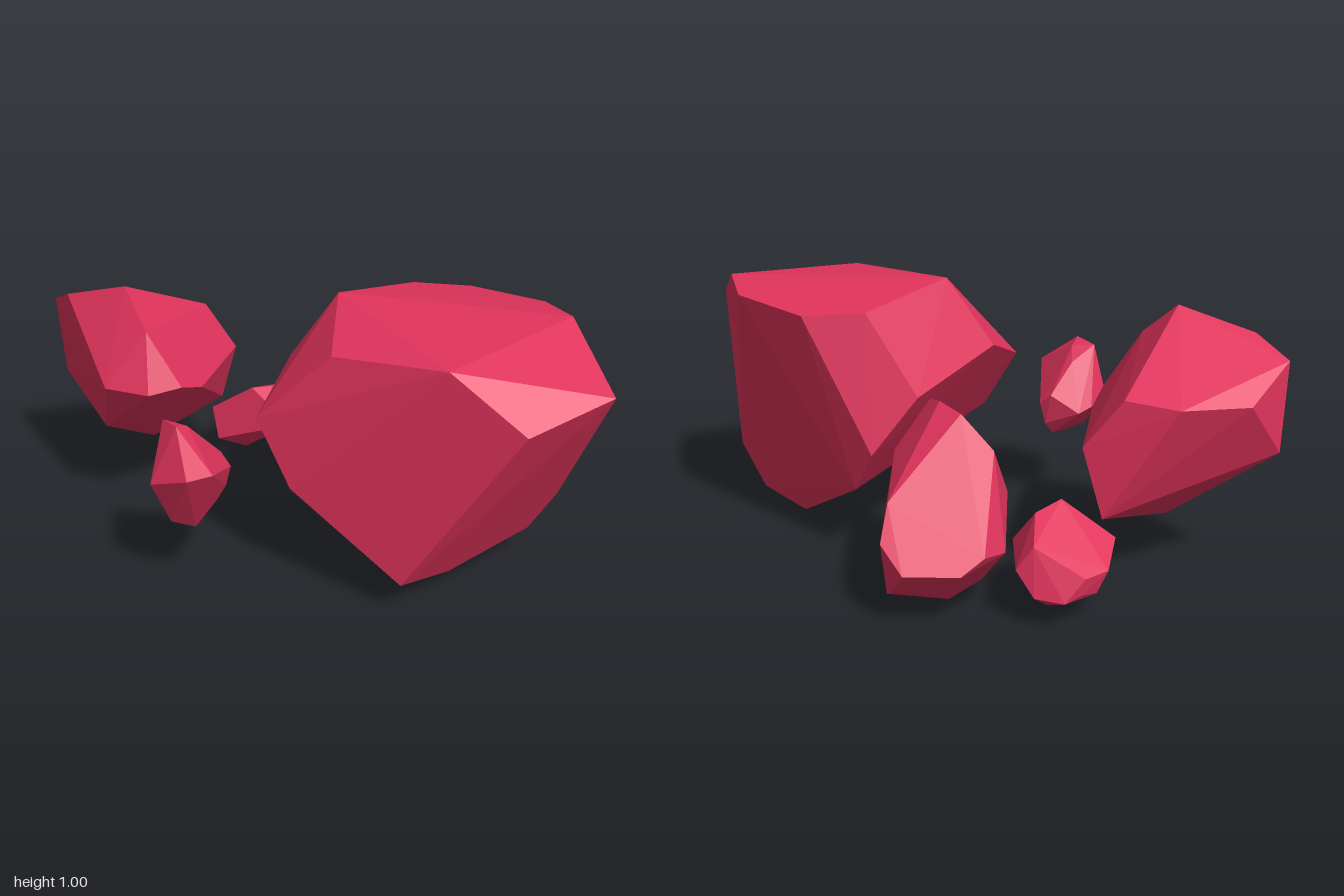
import * as THREE from 'three';
import { ConvexGeometry } from 'three/addons/geometries/ConvexGeometry.js';

// Corner points of each faceted chunk
const chunks = {
  largeChunk: [
    // top rim
    [0.07, 1.0, 0.055], [0.63, 0.985, 0.655], [0.71, 0.955, 0.44], [0.64, 0.93, 0.115],
    [0.465, 0.94, -0.015], [0.04, 0.945, 0.715], [-0.15, 0.905, 0.335],
    // front edge
    [0.5, 0.845, 0.995], [0.165, 0.78, 0.96],
    // back and left corners
    [-0.32, 0.635, 0.12], [-0.06, 0.75, -0.06], [0.35, 0.65, -0.155], [0.5, 0.45, -0.085],
    [-0.27, 0.4, 0.26],
    // underside
    [0.5, 0.285, 0.03], [0.51, 0.085, 0.39], [0.57, 0.13, 0.6], [0.62, 0.3, 0.68],
    [0.19, 0.075, 0.6], [-0.06, 0.13, 0.64],
  ],
  backRightChunk: [
    // top
    [-0.475, 0.94, -0.575], [-0.615, 0.865, -0.81], [-0.61, 0.8, -0.963], [-0.475, 0.81, -0.41],
    [-0.04, 0.72, -0.76], [-0.14, 0.705, -0.915], [-0.385, 0.69, -1.0],
    // middle
    [0.04, 0.546, -0.656], [-0.275, 0.55, -0.37], [-0.39, 0.6, -0.31], [-0.52, 0.59, -0.33],
    [-0.635, 0.6, -0.46],
    // underside
    [-0.59, 0.477, -0.97], [-0.58, 0.36, -0.62], [-0.345, 0.22, -0.69], [0.0, 0.3, -0.72],
  ],
  backLeftChunk: [
    // top and front tip
    [0.28, 0.627, -0.13], [0.42, 0.466, -0.11], [0.333, 0.664, -0.26], [0.333, 0.65, -0.38],
    [0.296, 0.55, -0.51], [0.175, 0.35, -0.434],
    // left side
    [0.63, 0.41, -0.38], [0.695, 0.3, -0.43], [0.68, 0.22, -0.53],
    // back
    [0.455, 0.27, -0.665], [0.535, 0.22, -0.645], [0.35, 0.25, -0.64],
    // underside
    [0.67, 0.13, -0.45], [0.61, 0.055, -0.33], [0.41, 0.004, -0.41], [0.28, 0.04, -0.42],
  ],
  smallBackChunk: [
    [0.085, 0.36, -0.61], [0.2, 0.34, -0.61], [0.3, 0.285, -0.72], [0.19, 0.19, -0.85],
    [0.09, 0.19, -0.85], [0.19, 0.13, -0.84], [-0.03, 0.24, -0.757], [-0.027, 0.1, -0.72],
    [0.1, 0.035, -0.7], [0.235, 0.057, -0.72], [0.32, 0.12, -0.75], [0.34, 0.2, -0.68],
    [0.196, 0.2, -0.49], [0.254, 0.11, -0.825], [0.12, 0.11, -0.83],
  ],
  smallRightChunk: [
    // top
    [-0.61, 0.664, 0.08], [-0.61, 0.65, -0.02], [-0.554, 0.64, 0.05], [-0.51, 0.59, 0.0],
    // front and sides
    [-0.566, 0.54, 0.25], [-0.645, 0.52, 0.21], [-0.71, 0.46, 0.06], [-0.4, 0.47, 0.0],
    [-0.388, 0.43, 0.05],
    // back
    [-0.63, 0.45, -0.075], [-0.534, 0.42, -0.095], [-0.476, 0.4, -0.085],
    // underside
    [-0.4, 0.345, 0.03], [-0.44, 0.296, 0.03], [-0.565, 0.262, 0.1], [-0.64, 0.288, 0.06],
  ],
};

export function createModel() {
  const model = new THREE.Group();
  model.name = 'chunkCluster';
  const crimson = new THREE.MeshStandardMaterial({ color: 0xe0335b });
  crimson.name = 'crimson';

  // Each chunk is the flat-faced hull of its corners
  for (const [name, corners] of Object.entries(chunks)) {
    const points = corners.map((c) => new THREE.Vector3(...c));
    const mesh = new THREE.Mesh(new ConvexGeometry(points), crimson);
    mesh.name = name;
    model.add(mesh);
  }
  return model;
}
